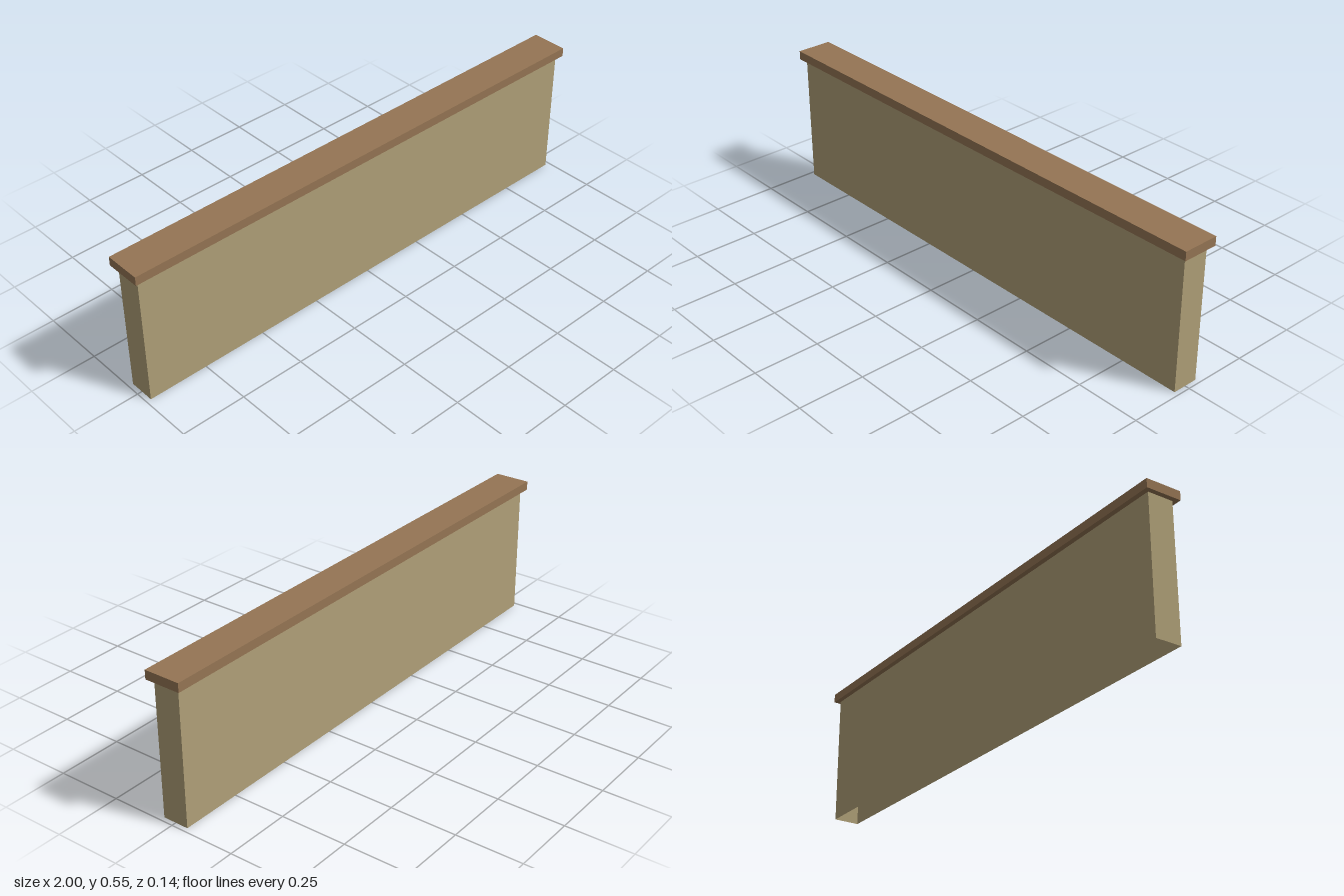
import * as THREE from 'three';

const WALL_HEIGHT = 0.511;
const CAP_HEIGHT = 0.034;

export function createModel() {
  const plaster = new THREE.MeshStandardMaterial({ color: 0xb0a078, side: THREE.DoubleSide });
  plaster.name = 'sandPlaster';
  const wood = new THREE.MeshStandardMaterial({ color: 0x957554 });
  wood.name = 'brownCap';

  const model = new THREE.Group();
  model.name = 'lowWall';

  // Hollow wall: the four upright sides of a box, open at the bottom and closed by the cap
  const wallGeometry = new THREE.BoxGeometry(1.964, WALL_HEIGHT, 0.1);
  const index = Array.from(wallGeometry.index.array);
  index.splice(12, 12); // drop the top and bottom faces
  wallGeometry.setIndex(index);
  wallGeometry.clearGroups();
  const wall = new THREE.Mesh(wallGeometry, plaster);
  wall.name = 'wallSides';
  wall.position.y = WALL_HEIGHT / 2;
  model.add(wall);

  // Overhanging cap
  const cap = new THREE.Mesh(new THREE.BoxGeometry(2, CAP_HEIGHT, 0.138), wood);
  cap.name = 'wallCap';
  cap.position.y = WALL_HEIGHT + CAP_HEIGHT / 2;
  model.add(cap);

  return model;
}
